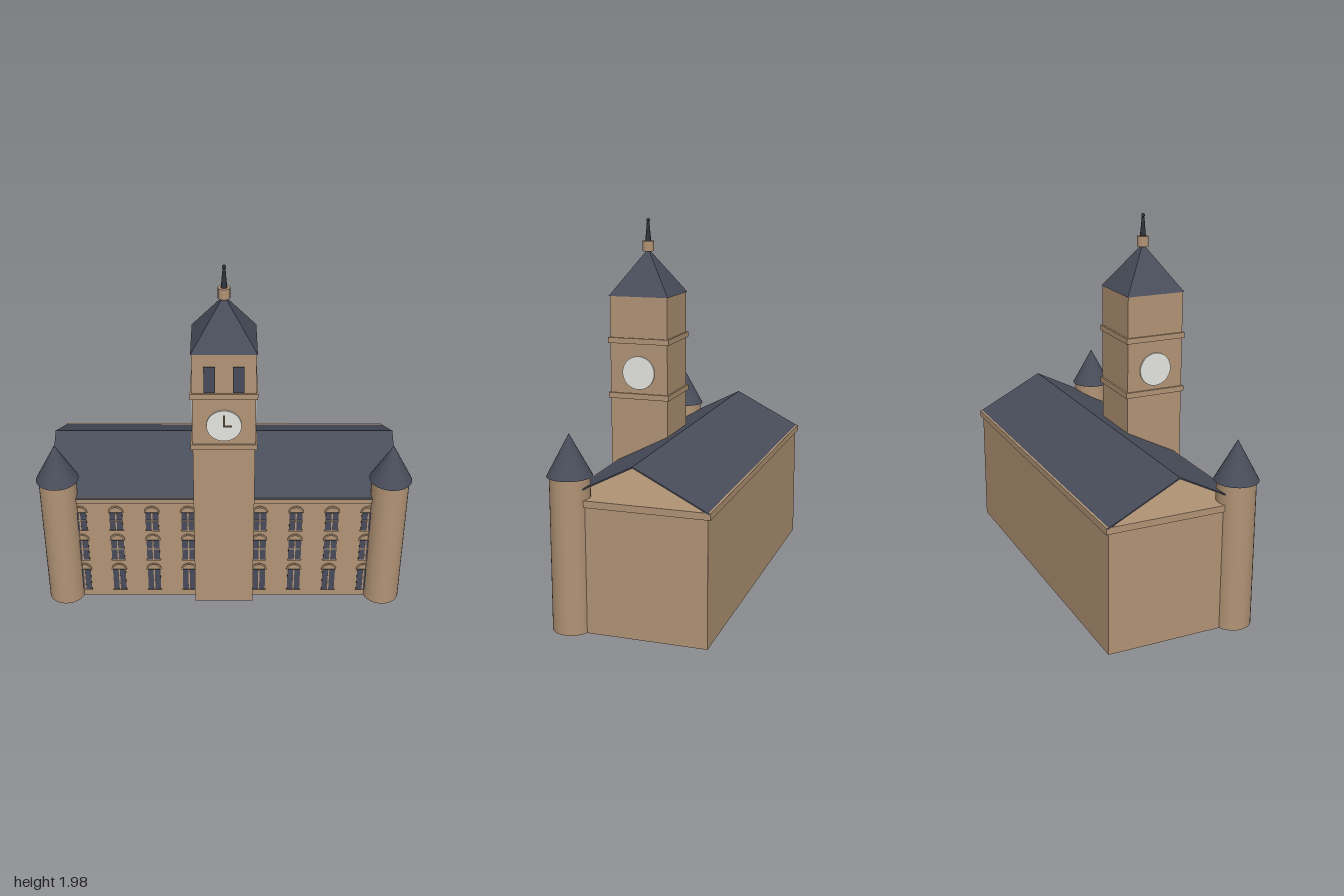
import * as THREE from 'three';

const mat = (name, color) => {
  const m = new THREE.MeshStandardMaterial({ color });
  m.name = name;
  return m;
};

export function createModel() {
  const stone = mat('sandstone', 0xb19375);
  const slate = mat('slate', 0x484d5a);
  const glass = mat('window glass', 0x484c5a);
  const dial = mat('clock white', 0xe4e4e0);
  const brown = mat('dark brown', 0x483c30);
  const iron = mat('dark iron', 0x30323a);

  // face materials for walls that stand on the ground: dark undersides
  const boxOnGround = [stone, stone, stone, brown, stone, stone];
  const drumOnGround = [stone, stone, brown];

  const model = new THREE.Group();
  model.name = 'clockTowerHall';

  const add = (parent, name, geo, material, x = 0, y = 0, z = 0) => {
    const m = new THREE.Mesh(geo, material);
    m.name = name;
    m.position.set(x, y, z);
    parent.add(m);
    return m;
  };
  // box given by its centre x, z and its bottom y
  const box = (parent, name, material, w, h, d, x, y, z) =>
    add(parent, name, new THREE.BoxGeometry(w, h, d), material, x, y + h / 2, z);

  // main hall
  const front = 0.33;
  box(model, 'hallWalls', boxOnGround, 1.85, 0.645, 0.735, 0, 0, -0.0375);
  box(model, 'cornice', stone, 1.866, 0.035, 0.758, 0, 0.645, -0.041);

  // roof: a thin folded sheet with open gables
  const fold = new THREE.Shape();
  fold.moveTo(-0.34, 0.675);
  fold.lineTo(0.037, 0.868);
  fold.lineTo(0.414, 0.675);
  fold.lineTo(0.414, 0.668);
  fold.lineTo(0.037, 0.86);
  fold.lineTo(-0.34, 0.668);
  fold.closePath();
  const roofGeo = new THREE.ExtrudeGeometry(fold, { depth: 1.868, bevelEnabled: false });
  roofGeo.translate(0, 0.002, -0.934);
  roofGeo.rotateY(Math.PI / 2);
  add(model, 'hallRoof', roofGeo, slate);

  // flat arched hood above each window
  const arch = new THREE.Shape();
  arch.absarc(0, 0, 0.042, 0, Math.PI, false);
  arch.absarc(0, 0, 0.033, Math.PI, 0, true);
  arch.closePath();
  const hoodGeo = new THREE.ExtrudeGeometry(arch, { depth: 0.007, bevelEnabled: false, curveSegments: 12 });

  // windows: three storeys, four bays on each side of the tower
  const rows = [
    { y: 0.045, h: 0.143, bar: false },
    { y: 0.26, h: 0.132, bar: true },
    { y: 0.463, h: 0.117, bar: true },
  ];
  for (const side of [-1, 1]) {
    for (const x of [0.195, 0.39, 0.585, 0.78]) {
      for (const { y, h, bar } of rows) {
        const win = new THREE.Group();
        win.name = 'window';
        win.position.set(side * x, y, front);
        model.add(win);
        box(win, 'pane', glass, 0.07, h, 0.006, 0, 0, 0.003);
        box(win, 'mullion', stone, 0.007, h, 0.004, 0, 0, 0.006);
        if (bar) box(win, 'transom', stone, 0.07, 0.005, 0.004, 0, h * 0.55, 0.006);
        box(win, 'sill', stone, 0.078, 0.006, 0.007, 0, -0.006, 0.0035);
        add(win, 'archHood', hoodGeo, stone, 0, h, 0);
      }
    }
  }

  // round corner turrets
  for (const side of [-1, 1]) {
    const turret = new THREE.Group();
    turret.name = side > 0 ? 'leftTurret' : 'rightTurret';
    turret.position.set(side * 0.887, 0, 0.305);
    model.add(turret);
    add(turret, 'turretWall', new THREE.CylinderGeometry(0.1, 0.1, 0.785, 32), drumOnGround, 0, 0.3925, 0);
    add(turret, 'turretRoof', new THREE.ConeGeometry(0.113, 0.21, 32), [slate, slate, stone], 0, 0.89, 0);
  }

  // clock tower
  const tower = new THREE.Group();
  tower.name = 'clockTower';
  tower.position.z = 0.218;
  model.add(tower);
  const half = 0.161;
  box(tower, 'towerShaft', boxOnGround, half * 2, 1.573, half * 2, 0, 0, 0);
  for (const y of [1.021, 1.321])
    box(tower, 'stringCourse', stone, 0.342, 0.03, 0.342, 0, y, 0);

  const spire = new THREE.ConeGeometry(0.166 * Math.SQRT2, 0.243, 4, 1).toNonIndexed();
  spire.rotateY(Math.PI / 4);
  spire.computeVertexNormals();
  add(tower, 'towerRoof', spire, slate, 0, 1.6935, 0);

  // finial
  add(tower, 'finialBase', new THREE.CylinderGeometry(0.031, 0.031, 0.055, 16), stone, 0, 1.829, 0);
  add(tower, 'finialSpike', new THREE.CylinderGeometry(0.007, 0.016, 0.1, 12), iron, 0, 1.906, 0);
  add(tower, 'finialBall', new THREE.SphereGeometry(0.01, 12, 8), iron, 0, 1.966, 0);

  // belfry windows
  for (const side of [-1, 1])
    box(tower, 'belfryWindow', glass, 0.058, 0.145, 0.008, side * 0.073, 1.358, half + 0.003);

  // clock dials on the front and both sides
  const dialGeo = new THREE.CylinderGeometry(0.09, 0.09, 0.009, 40);
  dialGeo.rotateX(Math.PI / 2);
  for (const turn of [-1, 0, 1]) {
    const clock = new THREE.Group();
    clock.name = 'clock';
    clock.position.y = 1.165;
    clock.rotation.y = turn * Math.PI / 2;
    tower.add(clock);
    add(clock, 'clockDial', dialGeo, dial, 0, 0, half + 0.0045);
    if (turn === 0) {
      box(clock, 'minuteHand', brown, 0.01, 0.07, 0.004, 0, -0.005, half + 0.01);
      box(clock, 'hourHand', brown, 0.046, 0.01, 0.004, 0.018, -0.005, half + 0.01);
    }
  }
  return model;
}
